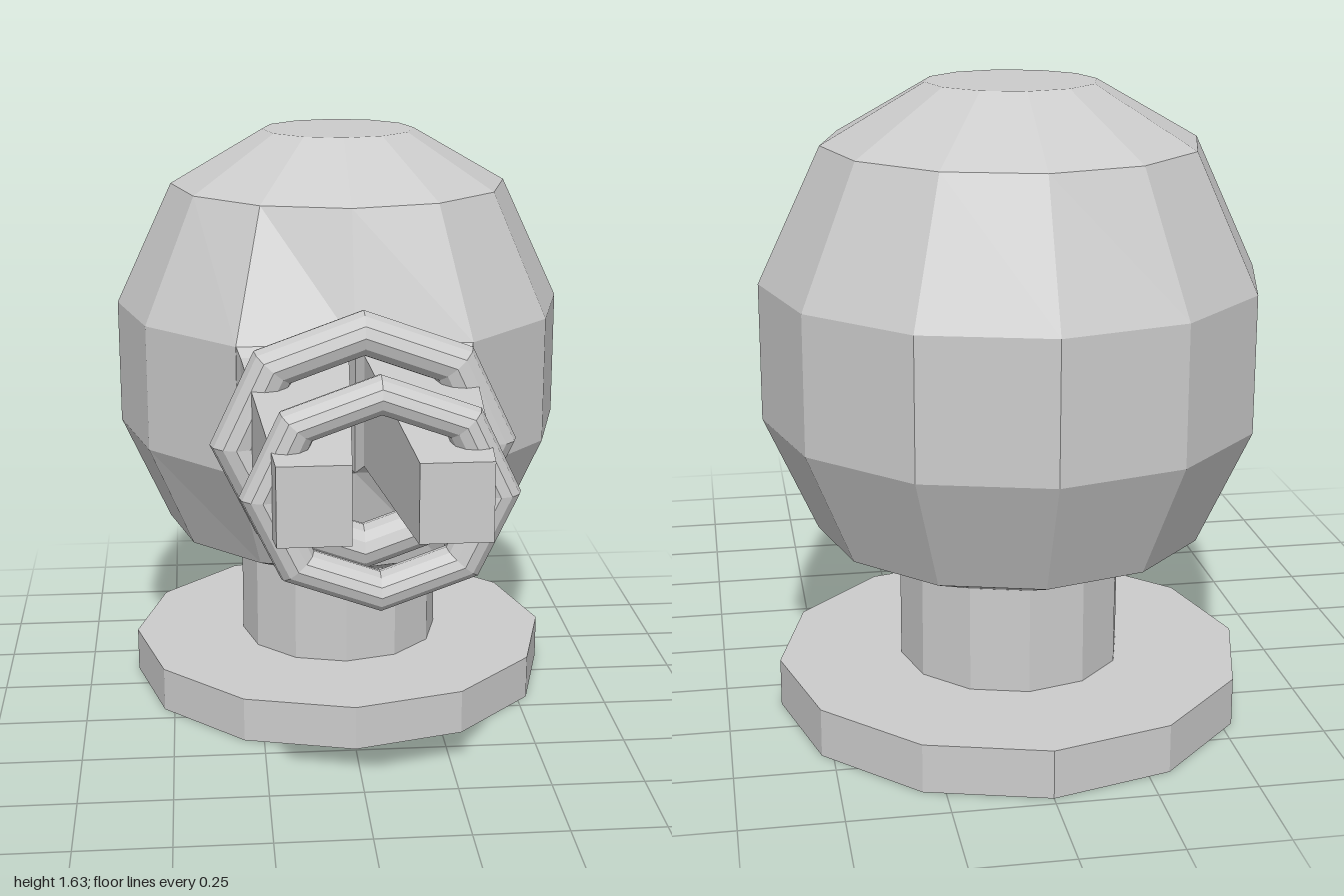
import * as THREE from 'three';

const CENTRE_Z = -0.365;

function addPart(parent, name, geometry) {
  const flat = geometry.index ? geometry.toNonIndexed() : geometry;
  flat.computeVertexNormals();
  const mesh = new THREE.Mesh(
    flat,
    new THREE.MeshStandardMaterial({ color: 0xcccccc, flatShading: true })
  );
  mesh.name = name;
  parent.add(mesh);
  return mesh;
}

// Move every vertex of a geometry by a rule
function reshape(geometry, rule) {
  const pos = geometry.attributes.position;
  const v = new THREE.Vector3();
  for (let i = 0; i < pos.count; i++) {
    rule(v.fromBufferAttribute(pos, i));
    pos.setXYZ(i, v.x, v.y, v.z);
  }
  return geometry;
}

// Twelve-sided faceted ball with the front flattened where the arms join
function ballGeometry() {
  const profile = [
    [0, 0.4], [0.29, 0.4], [0.5, 0.49], [0.635, 0.79],
    [0.635, 1.14], [0.475, 1.48], [0.215, 1.63], [0, 1.63],
  ].map(([r, y]) => new THREE.Vector2(r, y));
  const geometry = new THREE.LatheGeometry(profile, 12);
  geometry.translate(0, 0, CENTRE_Z);
  return reshape(geometry, (v) => {
    if (v.z > 0.1 && v.y > 0.7 && v.y < 1.2) {
      v.z = 0.21;
      v.x *= 0.98;
    }
  });
}

// Tapering square arm: [z, inner x, outer x, bottom y, top y] per section
function armGeometry(side) {
  const sections = [
    [0.21, 0, 0.31, 0.79, 1.14],
    [0.25, 0.02, 0.3, 0.82, 1.12],
    [1, 0.075, 0.245, 0.87, 1.06],
  ];
  return reshape(new THREE.BoxGeometry(1, 1, 1, 1, 1, 2), (v) => {
    const [z, inner, outer, bottom, top] = sections[Math.round((v.z + 0.5) * 2)];
    v.x = side * (v.x * side > 0 ? outer : inner);
    v.y = v.y > 0 ? top : bottom;
    v.z = z;
  });
}

export function createModel() {
  const group = new THREE.Group();
  group.name = 'ballKnobWithRingedArms';

  // Pedestal
  const base = addPart(group, 'base', new THREE.CylinderGeometry(0.61, 0.61, 0.125, 12));
  base.position.set(0, 0.0625, CENTRE_Z);
  const neck = addPart(group, 'neck', new THREE.CylinderGeometry(0.29, 0.29, 0.285, 12));
  neck.position.set(0, 0.2625, CENTRE_Z);

  // Ball
  addPart(group, 'ball', ballGeometry());

  // Pair of arms
  addPart(group, 'leftArm', armGeometry(1));
  addPart(group, 'rightArm', armGeometry(-1));

  // Octagonal rings around the arms
  const rings = [
    ['innerRing', 0.45, 0.32, 0.066],
    ['outerRing', 0.875, 0.271, 0.054],
  ];
  for (const [name, z, radius, tube] of rings) {
    const ring = addPart(group, name, new THREE.TorusGeometry(radius, tube, 12, 8));
    ring.scale.y = 0.87;
    ring.position.set(0, 0.95, z);
  }

  return group;
}
